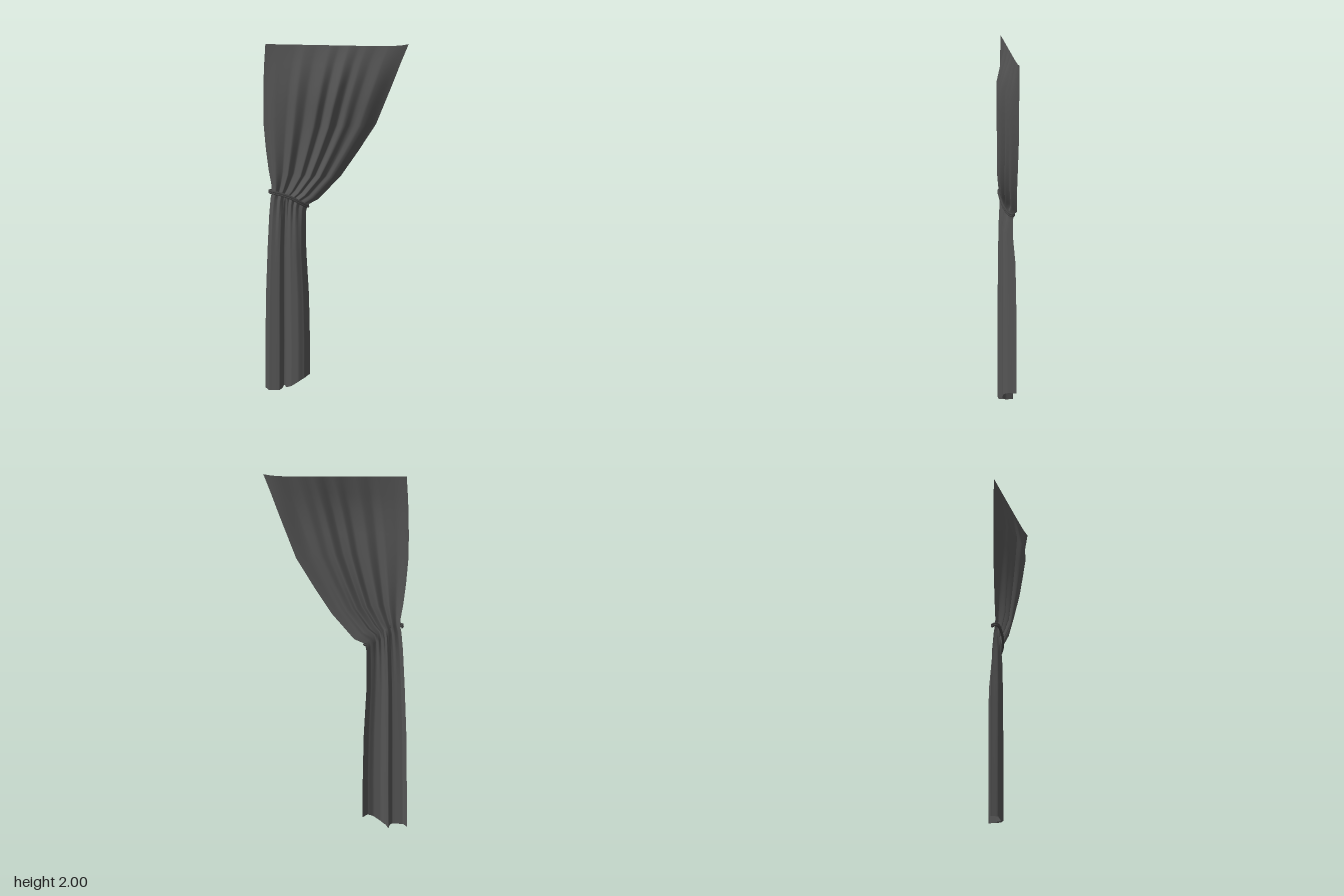
import * as THREE from 'three';

const cloth = new THREE.MeshStandardMaterial({ color: 0x555555, side: THREE.DoubleSide });
const cord = new THREE.MeshStandardMaterial({ color: 0x444444 });

// Fold profiles across the width: [position 0..1, depth]
const BULGE = [[0, 0], [0.1, 0.015], [0.2, 0.022], [0.27, 0.045], [0.35, 0.03], [0.45, 0.056], [0.51, 0.032],
  [0.58, 0.064], [0.65, 0.03], [0.7, 0.042], [0.77, 0.025], [0.855, 0.04], [1, 0]];
const PLEAT = [[0, 0], [0.1, 0.5], [0.2, -1], [0.27, 1], [0.35, -1], [0.45, 1], [0.51, -1],
  [0.58, 1], [0.65, -1], [0.72, 1], [0.8, -0.6], [0.9, 0.4], [1, 0]];
const TAIL = [[0, -0.02], [0.09, 0.018], [0.33, 0.02], [0.38, 0], [0.42, -0.055], [0.48, -0.01],
  [0.6, 0.008], [0.75, 0.01], [0.88, -0.005], [1, -0.055]];

// Sections from the rail to the hem:
// [left y, left x, right y, right x, bulge, pleat depth, edge set-back, tail weight]
const SECTIONS = [
  [1.985, -0.38, 2.0, 0.385, 0, 0, 0, 0],
  [1.88, -0.386, 1.89, 0.343, 0.5, 0, -0.005, 0],
  [1.77, -0.39, 1.77, 0.3, 1, 0, -0.01, 0],
  [1.65, -0.391, 1.65, 0.255, 0.92, 0.002, -0.015, 0],
  [1.53, -0.39, 1.53, 0.21, 0.8, 0.005, -0.02, 0],
  [1.38, -0.377, 1.37, 0.115, 0.65, 0.009, -0.028, 0],
  [1.26, -0.362, 1.22, 0.02, 0.5, 0.013, -0.036, 0],
  [1.18, -0.348, 1.08, -0.1, 0.25, 0.014, -0.052, 0],
  [1.14, -0.344, 1.05, -0.157, 0, 0.012, -0.035, 0.1],
  [1.1, -0.352, 1.01, -0.165, 0, 0.006, -0.02, 0.35],
  [1.0, -0.36, 0.93, -0.166, 0, 0.002, 0, 0.7],
  [0.8, -0.369, 0.78, -0.164, 0, 0, 0, 0.95],
  [0.52, -0.378, 0.53, -0.15, 0, 0, 0, 1],
  [0.25, -0.38, 0.28, -0.145, 0, 0, 0, 1],
  [0.005, -0.38, 0.072, -0.145, 0, 0, 0, 1],
];

// Eased interpolation inside a profile
function sample(profile, u) {
  let i = 1;
  while (i < profile.length - 1 && profile[i][0] < u) i++;
  const [u0, a] = profile[i - 1], [u1, b] = profile[i];
  const t = THREE.MathUtils.clamp((u - u0) / (u1 - u0), 0, 1);
  return a + (b - a) * (0.5 * t + 0.5 * t * t * (3 - 2 * t));
}

// Point on the cloth for section r at width position u
function clothPoint(r, u) {
  const [yL, xL, yR, xR, bulge, pleat, back, tail] = SECTIONS[r];
  let s = u;
  if (r === 0) s = Math.pow(u, 14);
  if (r === SECTIONS.length - 1) s = THREE.MathUtils.smoothstep(u, 0.4, 0.95) * 0.85 + 0.15 * u;
  const arch = r >= 7 && r <= 9 ? 0.014 * Math.sin(Math.PI * u) : 0;
  return new THREE.Vector3(
    xL + (xR - xL) * u,
    yL + (yR - yL) * s + arch,
    bulge * sample(BULGE, u) + pleat * sample(PLEAT, u) + back * u ** 3 + tail * sample(TAIL, u),
  );
}

// Draped sheet lofted through the sections
function drape() {
  const cols = 90, pos = [], index = [];
  for (let r = 0; r < SECTIONS.length; r++) {
    for (let c = 0; c <= cols; c++) pos.push(...clothPoint(r, c / cols).toArray());
  }
  for (let r = 0; r < SECTIONS.length - 1; r++) {
    for (let c = 0; c < cols; c++) {
      const a = r * (cols + 1) + c, b = a + cols + 1;
      index.push(a, b, a + 1, b, b + 1, a + 1);
    }
  }
  const g = new THREE.BufferGeometry();
  g.setAttribute('position', new THREE.Float32BufferAttribute(pos, 3));
  g.setIndex(index);
  g.computeVertexNormals();
  return g;
}

// Cord lying over the front of the gather, its ends tucked behind the edges
function tieBack(dy) {
  const pts = [[-0.348, 1.138, -0.02], [-0.358, 1.141, 0], [-0.34, 1.141, 0.014], [-0.29, 1.13, 0.017],
    [-0.24, 1.111, 0.015], [-0.195, 1.082, 0.004], [-0.163, 1.056, -0.018], [-0.152, 1.05, -0.037], [-0.166, 1.054, -0.046]];
  const path = new THREE.CatmullRomCurve3(pts.map(([x, y, z]) => new THREE.Vector3(x, y + dy, z)));
  return new THREE.TubeGeometry(path, 40, 0.006, 8, false);
}

export function createModel() {
  const model = new THREE.Group();
  model.name = 'curtain';

  const sheet = new THREE.Mesh(drape(), cloth);
  sheet.name = 'drape';
  model.add(sheet);

  const tie = new THREE.Group();
  tie.name = 'tieBack';
  for (const dy of [0.003, -0.007]) {
    const strand = new THREE.Mesh(tieBack(dy), cord);
    strand.name = 'tieCord';
    tie.add(strand);
  }
  model.add(tie);
  return model;
}
